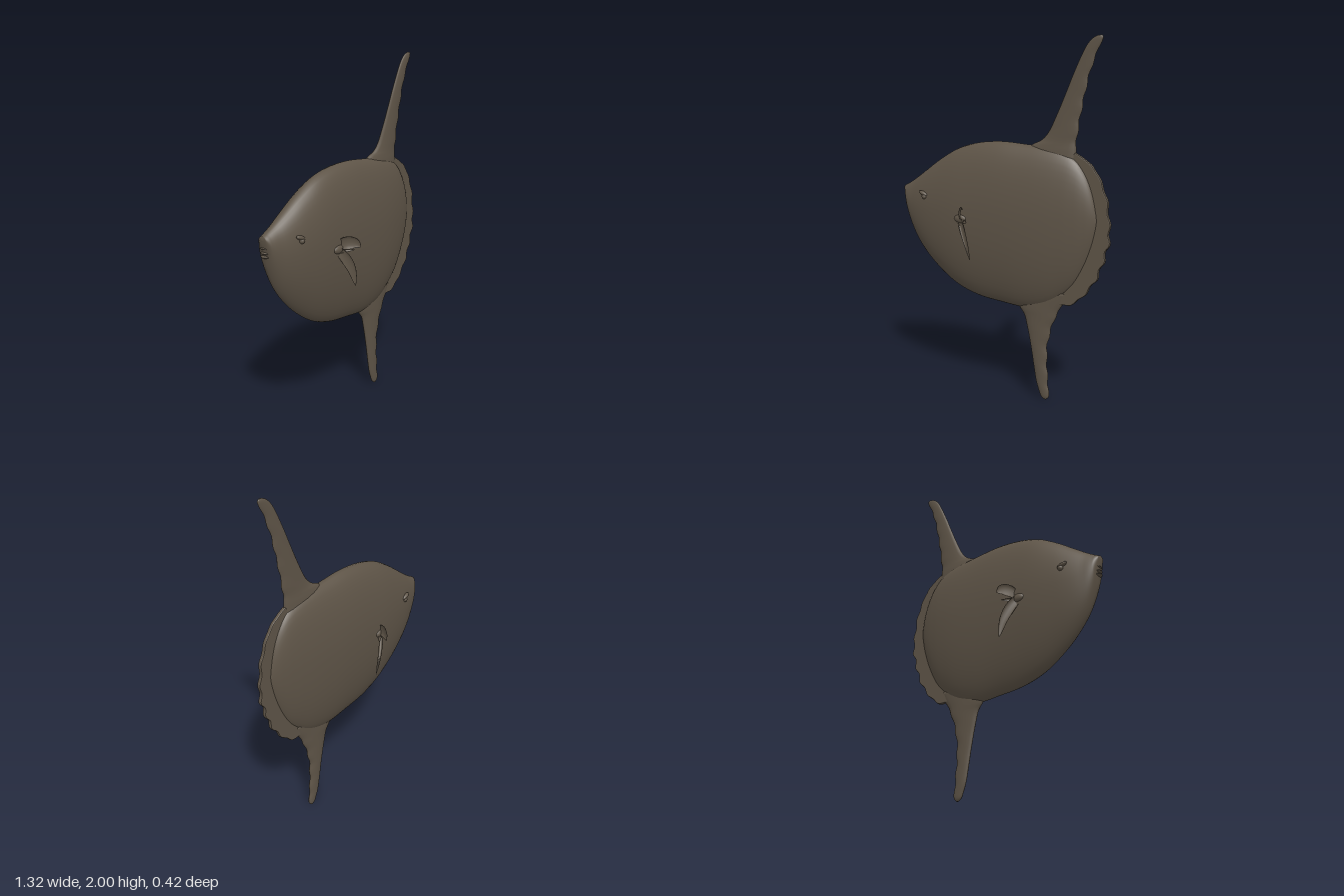
import * as THREE from 'three';

const V = (x, y, z) => new THREE.Vector3(x, y, z);

// Closed smooth skin through rings; point(t, angle) gives the surface, travelling from t = 0 to 1.
function loft(point, rings, sides) {
  const pos = [], index = [];
  for (let i = 0; i <= rings; i++)
    for (let j = 0; j < sides; j++) pos.push(...point(i / rings, (j / sides) * Math.PI * 2).toArray());
  for (let i = 0; i < rings; i++)
    for (let j = 0; j < sides; j++) {
      const k = (j + 1) % sides;
      const a = i * sides + j, b = i * sides + k, c = a + sides, d = b + sides;
      index.push(a, b, c, b, d, c);
    }
  // end caps
  for (const [ring, flip] of [[0, true], [rings, false]]) {
    const mid = V(0, 0, 0), s = ring * sides;
    for (let j = 0; j < sides; j++) mid.add(V(...pos.slice((s + j) * 3, (s + j) * 3 + 3)));
    const m = pos.length / 3;
    pos.push(...mid.divideScalar(sides).toArray());
    for (let j = 0; j < sides; j++) {
      const a = s + j, b = s + (j + 1) % sides;
      index.push(m, flip ? b : a, flip ? a : b);
    }
  }
  const g = new THREE.BufferGeometry();
  g.setAttribute('position', new THREE.Float32BufferAttribute(pos, 3));
  g.setIndex(index);
  g.computeVertexNormals();
  return g;
}

// Body: rows of x, belly y, back y, half width
function bodyGeometry() {
  const rows = [
    [-0.662, 1.13, 1.165, 0.022], [-0.645, 1.05, 1.172, 0.04], [-0.63, 0.98, 1.18, 0.05],
    [-0.58, 0.86, 1.21, 0.068], [-0.5, 0.755, 1.265, 0.09], [-0.4, 0.665, 1.333, 0.106],
    [-0.28, 0.59, 1.398, 0.116], [-0.15, 0.548, 1.433, 0.117], [0, 0.53, 1.445, 0.115],
    [0.15, 0.52, 1.435, 0.109], [0.28, 0.55, 1.422, 0.098], [0.38, 0.615, 1.4, 0.083],
    [0.45, 0.685, 1.365, 0.068], [0.51, 0.79, 1.29, 0.05], [0.55, 0.89, 1.2, 0.032],
    [0.58, 1.0, 1.08, 0.01],
  ];
  const edge = new THREE.CatmullRomCurve3(rows.map(r => V(r[0], r[1], r[2])));
  const width = new THREE.CatmullRomCurve3(rows.map(r => V(r[0], r[3], 0)));
  return loft((t, a) => {
    const e = edge.getPoint(t), w = width.getPoint(t).y;
    const mid = e.y + (e.z - e.y) * 0.56, s = Math.sin(a), c = Math.cos(a);
    const y = mid + s * (s > 0 ? e.z - mid : mid - e.y);
    const z = w * Math.sign(c) * Math.abs(c) ** (s < 0 ? 1.25 : 1.02);
    return V(e.x, y, -z);
  }, 60, 40);
}

// Tall fin: rows of y, front x, rear x, half thickness, listed upwards; the rear edge ripples
function finGeometry(rows, ripple) {
  const edge = new THREE.CatmullRomCurve3(rows.map(r => V(r[0], r[1], r[2])));
  const thick = new THREE.CatmullRomCurve3(rows.map(r => V(r[0], r[3], 0)));
  return loft((t, a) => {
    const e = edge.getPoint(t), w = thick.getPoint(t).y;
    const rear = e.z + ripple * Math.sin(e.x * 55) * Math.sin(Math.PI * t);
    return V((e.y + rear) / 2 + (rear - e.y) / 2 * Math.sin(a), e.x, w * Math.cos(a));
  }, 44, 16);
}

// Leaf-like blade along a curve; flat is its thin direction
function bladeGeometry(points, width, thick, flat) {
  const curve = new THREE.CatmullRomCurve3(points);
  return loft((t, a) => {
    const dir = curve.getTangent(t);
    const side = dir.clone().cross(flat).normalize();
    const thin = side.clone().cross(dir).normalize();
    const f = Math.max(0.06, Math.sin(Math.PI * (0.12 + 0.88 * t)) ** 0.7);
    return curve.getPoint(t)
      .addScaledVector(thin, thick * f * Math.cos(a))
      .addScaledVector(side, -width * f * Math.sin(a));
  }, 16, 12);
}

// Thin scalloped rudder behind the body
function rudderGeometry() {
  const rim = new THREE.CatmullRomCurve3([
    [0.45, 1.4], [0.51, 1.365], [0.56, 1.32], [0.605, 1.24], [0.635, 1.15], [0.648, 1.05],
    [0.652, 0.96], [0.635, 0.88], [0.61, 0.8], [0.575, 0.72], [0.52, 0.645], [0.45, 0.58], [0.36, 0.56],
  ].map(p => V(p[0], p[1], 0)));
  const shape = new THREE.Shape();
  shape.moveTo(0.36, 1.34);
  for (let i = 0; i <= 90; i++) {
    const t = i / 90, p = rim.getPoint(t), d = rim.getTangent(t);
    const r = 0.008 * Math.sin(t * 62) * Math.min(1, t * 2) * Math.sin(Math.PI * t) ** 0.4;
    shape.lineTo(p.x - d.y * r, p.y + d.x * r);
  }
  shape.lineTo(0.25, 0.62);
  const g = new THREE.ExtrudeGeometry(shape, {
    depth: 0.012, bevelEnabled: true, bevelThickness: 0.005, bevelSize: 0.006, bevelOffset: -0.006, bevelSegments: 2,
  });
  return g.translate(0, 0, -0.006);
}

export function createModel() {
  const model = new THREE.Group();
  const skin = new THREE.MeshStandardMaterial({ color: 0x5e5447 });
  skin.name = 'greyBrownSkin';
  const add = (name, geometry, parent = model) => {
    const mesh = new THREE.Mesh(geometry, skin);
    mesh.name = name;
    parent.add(mesh);
    return mesh;
  };

  add('body', bodyGeometry());
  add('rudder', rudderGeometry());
  add('dorsalFin', finGeometry([
    [1.3, 0.14, 0.46, 0.03], [1.4, 0.155, 0.452, 0.027], [1.435, 0.19, 0.452, 0.023], [1.46, 0.245, 0.453, 0.02],
    [1.5, 0.285, 0.458, 0.018], [1.6, 0.337, 0.474, 0.015], [1.7, 0.382, 0.495, 0.013], [1.8, 0.425, 0.518, 0.012],
    [1.9, 0.472, 0.553, 0.011], [1.96, 0.507, 0.58, 0.01], [1.99, 0.54, 0.592, 0.008], [2.0, 0.565, 0.585, 0.004],
  ], 0.005));
  add('analFin', finGeometry([
    [0, 0.275, 0.29, 0.005], [0.015, 0.257, 0.304, 0.011], [0.05, 0.242, 0.306, 0.014], [0.1, 0.226, 0.3, 0.016],
    [0.2, 0.208, 0.294, 0.018], [0.3, 0.19, 0.293, 0.019], [0.4, 0.168, 0.312, 0.02], [0.48, 0.145, 0.34, 0.021],
    [0.52, 0.115, 0.358, 0.022], [0.57, 0.1, 0.39, 0.022], [0.63, 0.12, 0.42, 0.022],
  ], 0.005));

  // Lips and small teeth ridges at the snout
  [1.145, 1.1, 1.075, 1.055].forEach((y, i) => {
    const lip = add('lip', new THREE.SphereGeometry(1, 16, 10));
    lip.scale.set(0.018, i ? 0.007 : 0.024, i ? 0.024 : 0.03);
    lip.position.set(-0.645, y, 0);
  });

  for (const side of [1, -1]) {
    const half = new THREE.Group();
    half.name = side > 0 ? 'leftSideParts' : 'rightSideParts';
    model.add(half);

    const eye = add('eye', new THREE.SphereGeometry(0.016, 16, 12), half);
    eye.position.set(-0.468, 1.115, 0.09 * side);
    const brow = add('brow', new THREE.SphereGeometry(1, 16, 10), half);
    brow.scale.set(0.032, 0.012, 0.014);
    brow.position.set(-0.475, 1.132, 0.089 * side);
    brow.rotation.z = -0.35;

    // Pectoral fin: root, upper lobe and long lower blade
    const root = add('pectoralRoot', new THREE.SphereGeometry(1, 16, 10), half);
    root.scale.set(0.04, 0.024, 0.016);
    root.position.set(-0.205, 1.01, 0.113 * side);
    add('pectoralUpperLobe', bladeGeometry(
      [V(-0.2, 1.02, 0.1 * side), V(-0.18, 1.045, 0.145 * side), V(-0.155, 1.045, 0.185 * side), V(-0.135, 1.025, 0.21 * side)],
      0.036, 0.012, V(0.85, 0, -0.5 * side)), half);
    add('pectoralLowerBlade', bladeGeometry(
      [V(-0.22, 1.02, 0.108 * side), V(-0.185, 0.97, 0.136 * side), V(-0.145, 0.89, 0.157 * side), V(-0.114, 0.79, 0.16 * side)],
      0.028, 0.011, V(0.5, 0.15, -0.8 * side)), half);
    add('pectoralShortBlade', bladeGeometry(
      [V(-0.24, 0.995, 0.108 * side), V(-0.19, 1.0, 0.125 * side), V(-0.13, 1.0, 0.165 * side)],
      0.012, 0.01, V(0.4, 0, -0.9 * side)), half);
  }
  return model;
}
